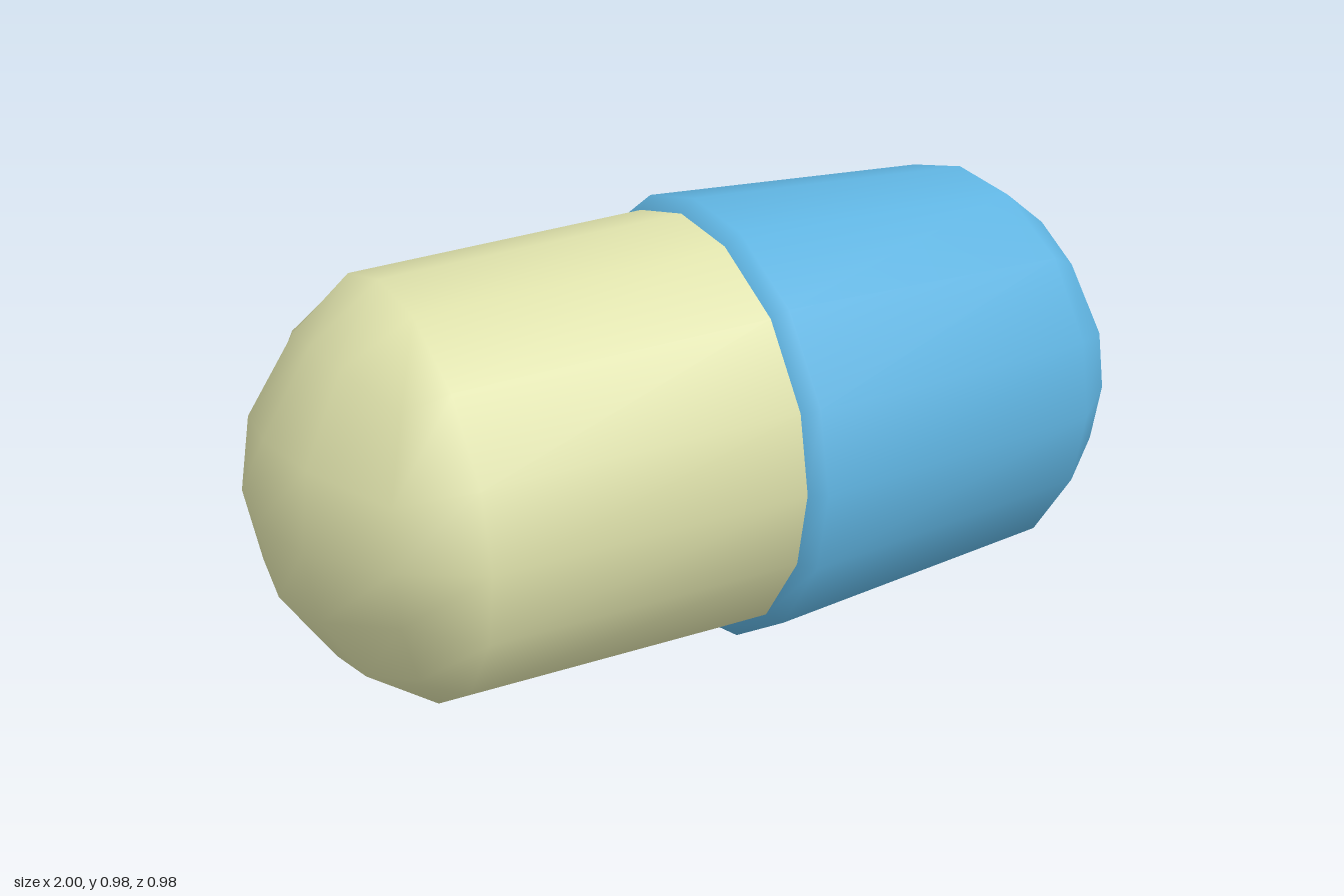
import * as THREE from 'three';
import { mergeVertices } from 'three/addons/utils/BufferGeometryUtils.js';

// Grid lines of a rounded box face: even steps become even arcs.
const spread = (v) => (Math.abs(Math.abs(v) - 0.5) < 0.01 ? Math.sign(v) * 0.378 : v);

// One shell: a spherical cap at x = 1 followed by [x, radius] rings, open at the last ring.
function shellGeometry(radius, rings) {
  const n = rings.length;
  const geo = new THREE.BoxGeometry(2, 2, 2, n, 4, 4);
  geo.deleteAttribute('uv');
  geo.deleteAttribute('normal');

  // Remove the inner end (the box's -x side)
  const inner = geo.groups[1];
  geo.setIndex(Array.from(geo.index.array).filter(
    (_, i) => i < inner.start || i >= inner.start + inner.count));
  geo.clearGroups();

  const pos = geo.attributes.position;
  const p = new THREE.Vector3();
  for (let i = 0; i < pos.count; i++) {
    p.fromBufferAttribute(pos, i);
    const column = Math.round(((1 - p.x) / 2) * n);
    p.y = spread(p.y);
    p.z = spread(p.z);
    if (column === 0) {
      // Rounded cap
      p.normalize().multiplyScalar(radius);
      p.x += 1 - radius;
    } else {
      // Tapered wall
      const [x, r] = rings[column - 1];
      p.x = 0;
      p.normalize().multiplyScalar(r);
      p.x = x;
    }
    pos.setXYZ(i, p.x, p.y, p.z);
  }
  const merged = mergeVertices(geo, 1e-4);
  merged.computeVertexNormals();
  return merged;
}

function shell(name, color, radius, rings) {
  const material = new THREE.MeshStandardMaterial({ color, side: THREE.DoubleSide });
  const mesh = new THREE.Mesh(shellGeometry(radius, rings), material);
  mesh.name = name;
  mesh.position.y = 0.49;
  return mesh;
}

export function createModel() {
  const group = new THREE.Group();
  group.name = 'capsule';

  // Wider shell with a bevelled lip
  group.add(shell('capsuleCap', 0x5fb3e0, 0.49, [[0.7, 0.458], [-0.02, 0.488], [-0.05, 0.46]]));

  // Narrower shell, turned to the other side
  const body = shell('capsuleBody', 0xdde0aa, 0.465, [[0.72, 0.434], [0.05, 0.46]]);
  body.rotation.y = Math.PI;
  group.add(body);

  return group;
}
